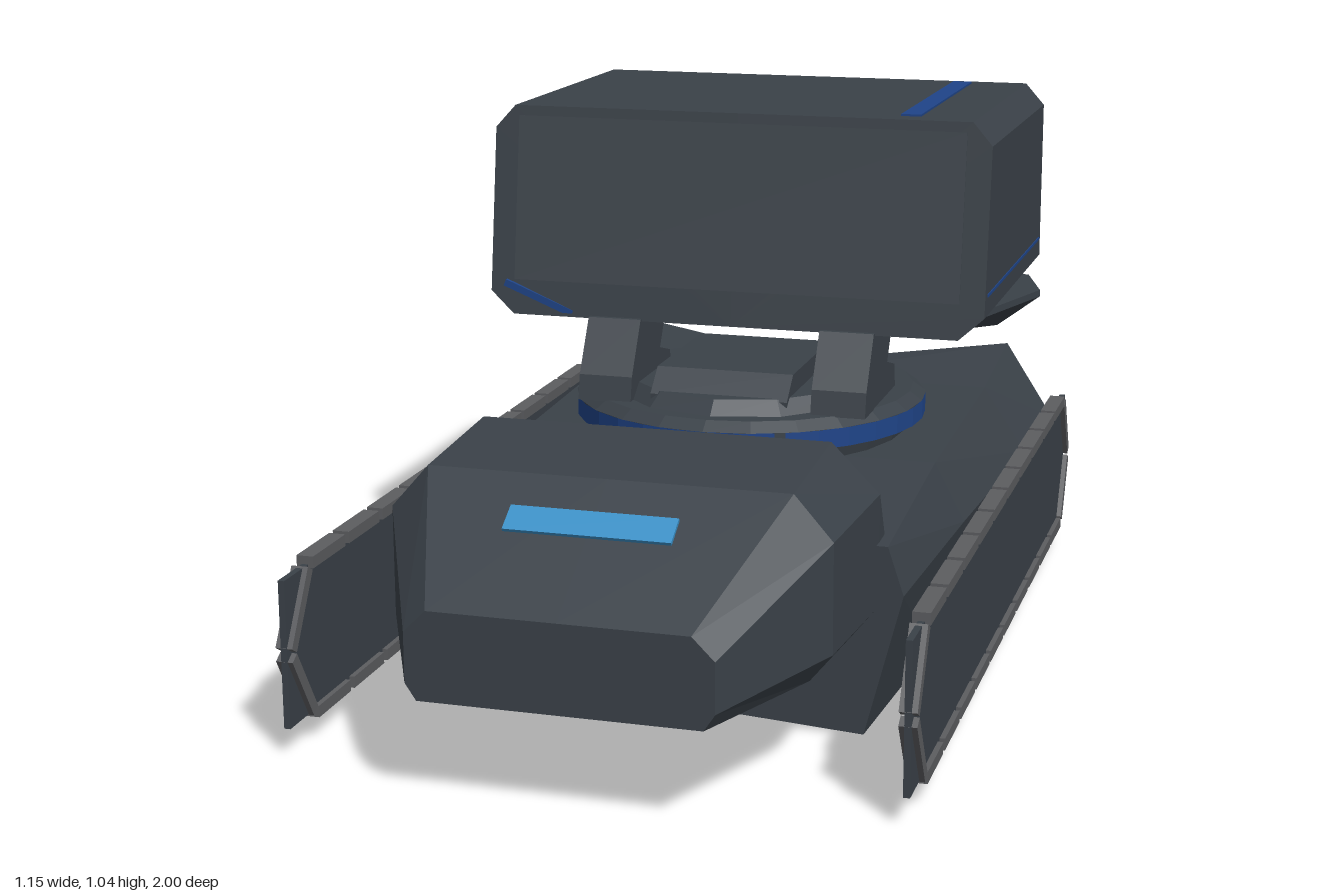
import * as THREE from 'three';

const mat = (name, color) => Object.assign(new THREE.MeshStandardMaterial({ color, flatShading: true }), { name });

// Loft through half-rings ordered front to back; each half-ring runs from bottom centre to top centre.
function loft(halfRings) {
  const rings = halfRings.map(h => [...h, ...h.slice(1, -1).reverse().map(([x, y, z]) => [-x, y, z])]);
  const n = rings[0].length, pos = [];
  const tri = (a, b, c) => pos.push(...a, ...b, ...c);
  for (let i = 0; i < rings.length - 1; i++) {
    const f = rings[i], b = rings[i + 1];
    for (let j = 0; j < n; j++) {
      const k = (j + 1) % n;
      tri(f[j], b[j], f[k]);
      tri(f[k], b[j], b[k]);
    }
  }
  const first = rings[0], last = rings[rings.length - 1];
  for (let j = 1; j < n - 1; j++) {
    tri(first[0], first[j], first[j + 1]);
    tri(last[0], last[j + 1], last[j]);
  }
  const g = new THREE.BufferGeometry();
  g.setAttribute('position', new THREE.Float32BufferAttribute(pos, 3));
  g.computeVertexNormals();
  return g;
}

// Side profile of [z, y] points, extruded across x.
function sideProfile(points, width) {
  const shape = new THREE.Shape(points.map(p => new THREE.Vector2(...p)));
  return new THREE.ExtrudeGeometry(shape, { depth: width, bevelEnabled: false })
    .translate(0, 0, -width / 2).rotateY(-Math.PI / 2);
}

export function createModel() {
  const model = new THREE.Group();
  model.name = 'trackedLauncher';
  const armour = mat('dark armour', 0x3a4148);
  const panelGrey = mat('panel grey', 0x3e454c);
  const padGrey = mat('tread grey', 0x5c5d60);
  const navy = mat('navy trim', 0x1f4488);
  const glass = mat('light blue glass', 0x3a8fc6);

  const add = (name, geo, material, x = 0, y = 0, z = 0, parent = model) => {
    const m = new THREE.Mesh(geo, material);
    m.name = name;
    m.position.set(x, y, z);
    parent.add(m);
    return m;
  };
  const box = (w, h, d) => new THREE.BoxGeometry(w, h, d);

  // Hull, with a V-shaped notch in the tail
  const hullRing = (z, xb, xs, xt, yt) =>
    [[0, 0.035, z], [xb, 0.01, z], [xs, 0.28, z], [xt, yt, z], [0, yt, z]];
  add('hull', loft([
    hullRing(0.48, 0.40, 0.47, 0.44, 0.37),
    hullRing(0, 0.43, 0.49, 0.43, 0.395),
    hullRing(-0.55, 0.46, 0.52, 0.43, 0.415),
    [[0, 0.035, -0.64], [0.45, 0.01, -0.8], [0.535, 0.28, -0.85], [0.42, 0.435, -0.9], [0, 0.41, -0.72]],
    [[0, 0.15, -0.73], [0.42, 0.2, -0.99], [0.46, 0.28, -0.97], [0.42, 0.37, -1], [0, 0.34, -0.81]],
  ]), armour);

  // Cab
  const cabRing = (z, xb, xs, yl, yh, xt, yt) =>
    [[0, 0.2, z], [xb, 0.2, z], [xs, yl, z], [xs, yh, z], [xt, yt, z], [0, yt, z]];
  add('cab', loft([
    cabRing(1, 0.25, 0.27, 0.23, 0.32, 0.23, 0.36),
    cabRing(0.73, 0.36, 0.4, 0.25, 0.45, 0.33, 0.53),
    cabRing(0.46, 0.38, 0.42, 0.25, 0.46, 0.33, 0.55),
    [[0, 0.2, 0.38], [0.38, 0.2, 0.42], [0.42, 0.25, 0.42], [0.42, 0.38, 0.42], [0.32, 0.42, 0.4], [0, 0.44, 0.36]],
  ]), armour);
  const slope = Math.atan2(0.17, 0.27);
  add('cabWindow', box(0.3, 0.008, 0.055), glass, 0, 0.475, 0.822).rotation.x = slope;

  // Tracks: a side plate rimmed with tread pads
  const rim = [[0.77, 0.342], [-0.77, 0.342], [-0.85, 0.2], [-0.77, 0.06], [0.77, 0.06], [0.855, 0.2]];
  for (const side of [1, -1]) {
    const track = new THREE.Group();
    track.name = side > 0 ? 'leftTrack' : 'rightTrack';
    track.position.x = side * 0.558;
    model.add(track);
    add('trackPlate', box(0.012, 0.275, 1.7), armour, 0, 0.2, 0.01, track);
    rim.forEach(([z0, y0], i) => {
      const [z1, y1] = rim[(i + 1) % rim.length];
      const length = Math.hypot(z1 - z0, y1 - y0);
      const count = Math.max(1, Math.round(length / 0.154));
      for (let k = 0; k < count; k++) {
        const t = (k + 0.5) / count;
        add('treadPad', box(0.032, 0.022, length / count - 0.016), padGrey,
          0, y0 + (y1 - y0) * t, z0 + (z1 - z0) * t, track).rotation.x = -Math.atan2(y1 - y0, z1 - z0);
      }
    });
  }

  // Turntable with a segmented blue band
  const cz = -0.21;
  add('turntableBase', new THREE.CylinderGeometry(0.345, 0.32, 0.09, 24), armour, 0, 0.42, cz);
  const arcs = 4, step = Math.PI * 2 / arcs;
  for (let i = 0; i < arcs; i++) {
    add('turntableBand', new THREE.CylinderGeometry(0.36, 0.36, 0.038, 8, 1, true, i * step + 0.45, step - 0.06),
      navy, 0, 0.445, cz);
  }
  add('turntableCore', new THREE.CylinderGeometry(0.354, 0.354, 0.037, 32), armour, 0, 0.445, cz);
  add('turntableTop', new THREE.CylinderGeometry(0.335, 0.36, 0.018, 24), armour, 0, 0.473, cz);

  // Pedestal and lifting arms
  add('pedestal', new THREE.CylinderGeometry(0.24, 0.27, 0.03, 12), armour, 0, 0.495, -0.17);
  add('pedestalBlock', sideProfile(
    [[0.04, 0.48], [0.04, 0.505], [-0.01, 0.55], [-0.32, 0.55], [-0.33, 0.48]], 0.28), armour);
  for (const x of [-0.24, 0.24]) {
    add('liftArm', sideProfile(
      [[0.03, 0.48], [0.02, 0.53], [-0.04, 0.635], [-0.22, 0.635], [-0.17, 0.55], [-0.24, 0.53], [-0.25, 0.48]], 0.11),
    armour, x);
  }

  // Wedge-shaped cradle beneath the launcher
  const cradleRing = (z, xb, yb, xt) =>
    [[0, yb, z], [xb, yb, z], [xt, 0.618, z], [xt, 0.632, z], [0, 0.632, z]];
  add('cradle', loft([
    cradleRing(-0.19, 0.36, 0.612, 0.42),
    cradleRing(-0.57, 0.45, 0.55, 0.54),
    cradleRing(-0.73, 0.43, 0.6, 0.49),
  ]), armour);

  // Launcher box with bevelled corners and a raked front
  const section = [[0, 0.63], [0.46, 0.63], [0.51, 0.675], [0.51, 1.005], [0.47, 1.05], [0, 1.05]];
  const frontZ = y => -0.05 - 0.06 * (y - 0.63) / 0.42;
  add('launcherBox', loft([
    section.map(([x, y]) => [x, y, frontZ(y)]),
    section.map(([x, y]) => [x, y, -0.745]),
  ]), armour);
  add('launcherFrontPanel', box(0.92, 0.333, 0.006), panelGrey, 0, 0.865, frontZ(0.865)).rotation.x = -Math.atan2(0.06, 0.42);

  // Blue launcher trim
  add('roofStripe', box(0.04, 0.006, 0.55), navy, 0.337, 1.051, -0.435);
  add('sideStripe', box(0.004, 0.006, 0.64), navy, 0.51, 0.715, -0.405);
  add('lowerStripe', box(0.155, 0.014, 0.698), navy, -0.407, 0.665, -0.4).rotation.z = -0.38;

  return model;
}
